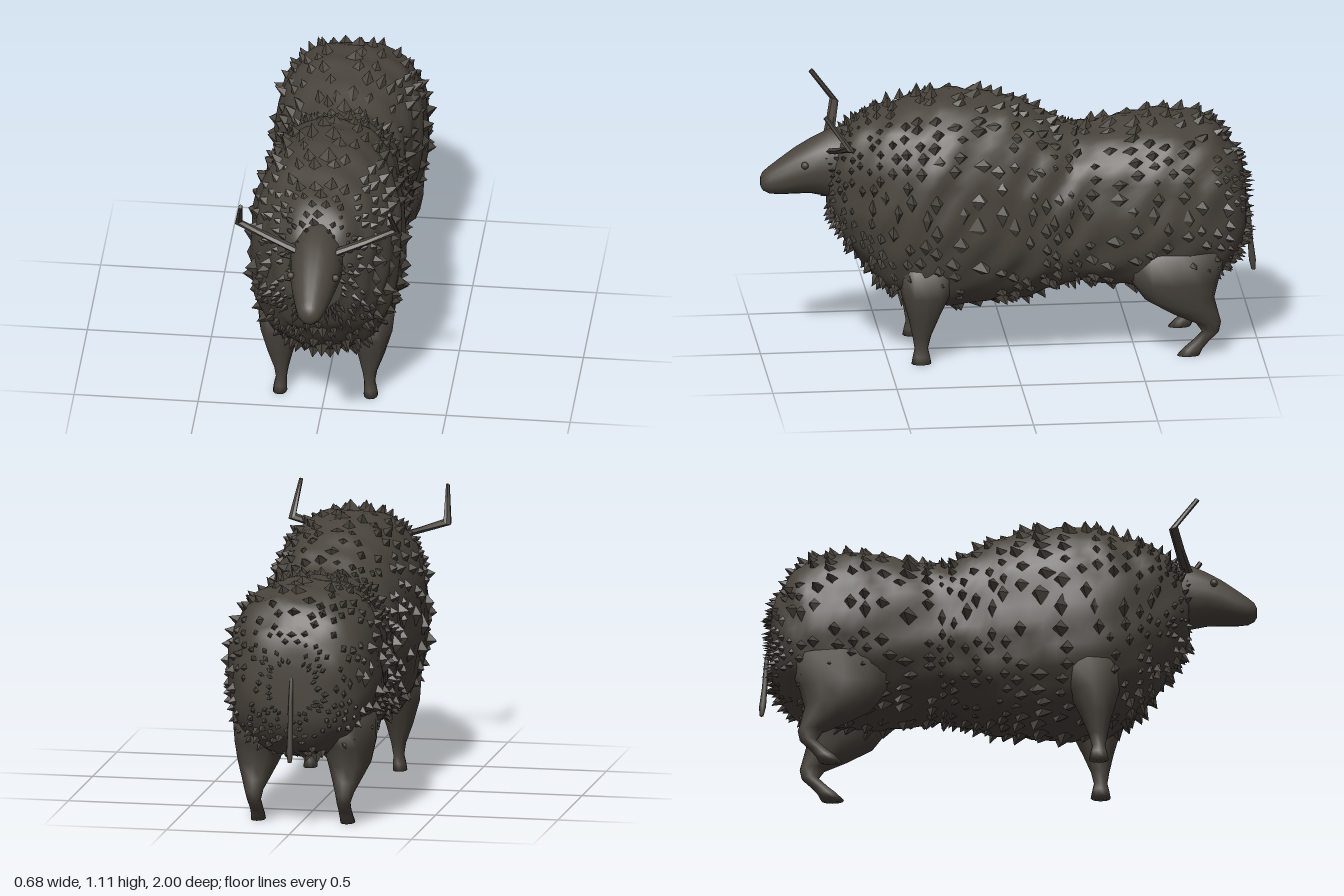
import * as THREE from 'three';

const V = (x, y, z) => new THREE.Vector3(x, y, z);

// Seeded pseudo-random numbers
function makeRandom(seed) {
  return () => {
    seed = (seed * 16807) % 2147483647;
    return seed / 2147483647;
  };
}

// Rounded-box style cosine: n = 2 gives an ellipse, larger is squarer
const power = (c, n) => Math.sign(c) * Math.pow(Math.abs(c), 2 / n);

// Closed skin through stations { p, u, v }: centre and two half-axis vectors
function loft(stations, sides, n = 2, offset = null) {
  const first = stations[0], last = stations[stations.length - 1];
  const zero = V(0, 0, 0);
  const list = [{ p: first.p, u: zero, v: zero }, ...stations, { p: last.p, u: zero, v: zero }];
  const turn = V(0, 0, 0).crossVectors(first.u, first.v).dot(last.p.clone().sub(first.p)) < 0 ? -1 : 1;
  const pos = [], index = [];
  list.forEach((s, i) => {
    for (let j = 0; j < sides; j++) {
      const a = (turn * j * Math.PI * 2) / sides;
      const q = s.p.clone().addScaledVector(s.u, power(Math.cos(a), n)).addScaledVector(s.v, power(Math.sin(a), n));
      if (offset) q.add(q.clone().sub(s.p).normalize().multiplyScalar(offset(q)));
      pos.push(q.x, q.y, q.z);
      if (i === list.length - 1) continue;
      const k = (j + 1) % sides, A = i * sides + j, B = i * sides + k;
      if (i > 0) index.push(A, B, A + sides);
      if (i < list.length - 2) index.push(B, B + sides, A + sides);
      else if (i === 0) index.push(A, B, A + sides);
    }
  });
  const g = new THREE.BufferGeometry();
  g.setAttribute('position', new THREE.Float32BufferAttribute(pos, 3));
  g.setIndex(index);
  g.computeVertexNormals();
  return g;
}

// Trunk profile from rump to chest: z, top, bottom, half width
const trunk = [
  [-0.95, 0.69, 0.5, 0.08], [-0.935, 0.77, 0.43, 0.17], [-0.89, 0.85, 0.36, 0.235],
  [-0.8, 0.94, 0.3, 0.285], [-0.65, 0.97, 0.27, 0.305], [-0.5, 0.965, 0.27, 0.295],
  [-0.3, 0.925, 0.295, 0.265], [-0.2, 0.945, 0.285, 0.265], [-0.08, 1.02, 0.245, 0.27],
  [0.05, 1.065, 0.225, 0.285], [0.25, 1.085, 0.215, 0.305], [0.4, 1.06, 0.235, 0.295],
  [0.52, 1.03, 0.31, 0.25], [0.61, 0.99, 0.42, 0.2], [0.68, 0.93, 0.52, 0.15], [0.73, 0.85, 0.62, 0.09],
];
const zCurve = new THREE.CatmullRomCurve3(trunk.map(r => V(r[0], 0, 0)), false, 'catmullrom', 0.5);
const sizeCurve = new THREE.CatmullRomCurve3(trunk.map(r => V(r[1], r[2], r[3])), false, 'catmullrom', 0.5);
const SQUARE = 2.45;

function trunkStation(t) {
  const z = zCurve.getPoint(t).x, s = sizeCurve.getPoint(t);
  return { p: V(0, (s.x + s.y) / 2, z), u: V(s.z, 0, 0), v: V(0, (s.x - s.y) / 2, 0) };
}

function trunkPoint(t, a) {
  const s = trunkStation(Math.min(1, Math.max(0, t)));
  return s.p.addScaledVector(s.u, power(Math.cos(a), SQUARE)).addScaledVector(s.v, power(Math.sin(a), SQUARE));
}

// Matted locks: small leaning pyramids laid in staggered rows over the trunk
function fleeceTufts(rows, perRow) {
  const rand = makeRandom(4711), pos = [];
  for (let i = 0; i < rows; i++) {
    for (let j = 0; j < perRow; j++) {
      const t = (i + 0.5 + (rand() - 0.5) * 0.5) / rows;
      const a = ((j + (i % 2) * 0.5 + (rand() - 0.5) * 0.3) * Math.PI * 2) / perRow;
      const height = 0.016 + 0.026 * rand();
      if (rand() < 0.3) continue;
      const da = (0.42 * Math.PI * 2) / perRow, dt = 0.4 / rows;
      const base = [trunkPoint(t, a + da), trunkPoint(t + dt, a), trunkPoint(t, a - da), trunkPoint(t - dt, a)];
      const normal = V(0, 0, 0).crossVectors(base[0].clone().sub(base[2]), base[1].clone().sub(base[3])).normalize();
      const apex = trunkPoint(t - dt * 0.6, a).addScaledVector(normal, height);
      base.forEach(b => b.addScaledVector(normal, -0.004));
      base.forEach((b, k) => [b, base[(k + 1) % 4], apex].forEach(q => pos.push(q.x, q.y, q.z)));
    }
  }
  const g = new THREE.BufferGeometry();
  g.setAttribute('position', new THREE.Float32BufferAttribute(pos, 3));
  g.computeVertexNormals();
  return g;
}

// Leg rows: y, centre x, centre z, half width x, half depth z
const frontLegRows = [
  [0.42, 0.17, 0.33, 0.11, 0.14], [0.3, 0.18, 0.35, 0.088, 0.1], [0.2, 0.183, 0.36, 0.055, 0.062],
  [0.12, 0.178, 0.368, 0.03, 0.037], [0.07, 0.178, 0.37, 0.022, 0.027],
  [0.04, 0.181, 0.37, 0.026, 0.034], [0.008, 0.183, 0.37, 0.029, 0.04],
];
const hindLegRows = [
  [0.46, 0.17, -0.66, 0.12, 0.22], [0.33, 0.18, -0.65, 0.105, 0.18], [0.25, 0.185, -0.67, 0.085, 0.14],
  [0.19, 0.185, -0.73, 0.058, 0.095], [0.145, 0.185, -0.785, 0.038, 0.052], [0.105, 0.183, -0.795, 0.028, 0.034],
  [0.065, 0.181, -0.755, 0.026, 0.034], [0.035, 0.181, -0.725, 0.027, 0.04], [0.008, 0.183, -0.705, 0.029, 0.046],
];
const legGeometry = (rows, side) =>
  loft(rows.map(([y, x, z, w, d]) => ({ p: V(side * x, y, z), u: V(w, 0, 0), v: V(0, 0, d) })), 12, 2.2);

// Head rows: z, top, bottom, half width
const headRows = [
  [0.56, 0.97, 0.6, 0.12], [0.66, 0.96, 0.64, 0.115], [0.73, 0.945, 0.67, 0.105], [0.8, 0.91, 0.685, 0.096],
  [0.86, 0.875, 0.685, 0.083], [0.92, 0.832, 0.683, 0.066], [0.965, 0.798, 0.687, 0.052],
  [0.99, 0.777, 0.7, 0.037], [1.0, 0.757, 0.717, 0.018],
];

export function createModel() {
  const group = new THREE.Group();
  const coat = new THREE.MeshStandardMaterial({ color: 0x4a443d });
  coat.name = 'dark brown coat';
  const add = (name, geometry) => {
    const mesh = new THREE.Mesh(geometry, coat);
    mesh.name = name;
    group.add(mesh);
    return mesh;
  };

  // Lumpy trunk
  const lumps = q => 0.007 * Math.sin(q.x * 31 + q.z * 17) * Math.sin(q.y * 29 + q.z * 9)
    + 0.005 * Math.sin(q.z * 43 + q.y * 21 - q.x * 13);
  const stations = Array.from({ length: 61 }, (_, i) => trunkStation(i / 60));
  add('trunk', loft(stations, 56, SQUARE, lumps));
  add('fleece', fleeceTufts(34, 34));

  // Head with a tapering muzzle
  add('head', loft(headRows.map(([z, top, bottom, w]) => ({
    p: V(0, (top + bottom) / 2, z), u: V(w, 0, 0), v: V(0, (top - bottom) / 2, 0),
  })), 18, 2));

  for (const side of [1, -1]) {
    const label = side > 0 ? 'left' : 'right';
    add(label + 'FrontLeg', legGeometry(frontLegRows, side));
    add(label + 'HindLeg', legGeometry(hindLegRows, side));

    // Horn sweeps outward, then bends sharply up and forward
    add(label + 'Horn', loft([
      { p: V(side * 0.06, 0.875, 0.725), u: V(0, 0, 0.024), v: V(-side * 0.004, 0.013, 0) },
      { p: V(side * 0.2, 0.924, 0.695), u: V(0, 0, 0.02), v: V(-side * 0.004, 0.012, 0) },
      { p: V(side * 0.317, 0.967, 0.672), u: V(0, 0.006, 0.018), v: V(-side * 0.017, 0.008, 0) },
      { p: V(side * 0.3, 1.1, 0.768), u: V(0, -0.006, 0.008), v: V(-side * 0.008, 0, 0) },
    ], 6).toNonIndexed());

    // Eye
    const eye = add(label + 'Eye', new THREE.SphereGeometry(0.015, 10, 8));
    eye.position.set(side * 0.09, 0.828, 0.83);
  }

  // Thin hanging tail with a thicker end
  add('tail', loft([
    [0.64, -0.945, 0.007], [0.55, -0.965, 0.009], [0.42, -0.974, 0.011], [0.34, -0.982, 0.014], [0.3, -0.986, 0.008],
  ].map(([y, z, r]) => ({ p: V(0, y, z), u: V(r, 0, 0), v: V(0, 0, r) })), 8));

  // Flat-shade the horns
  group.children.filter(m => m.name.endsWith('Horn')).forEach(m => m.geometry.computeVertexNormals());
  return group;
}
